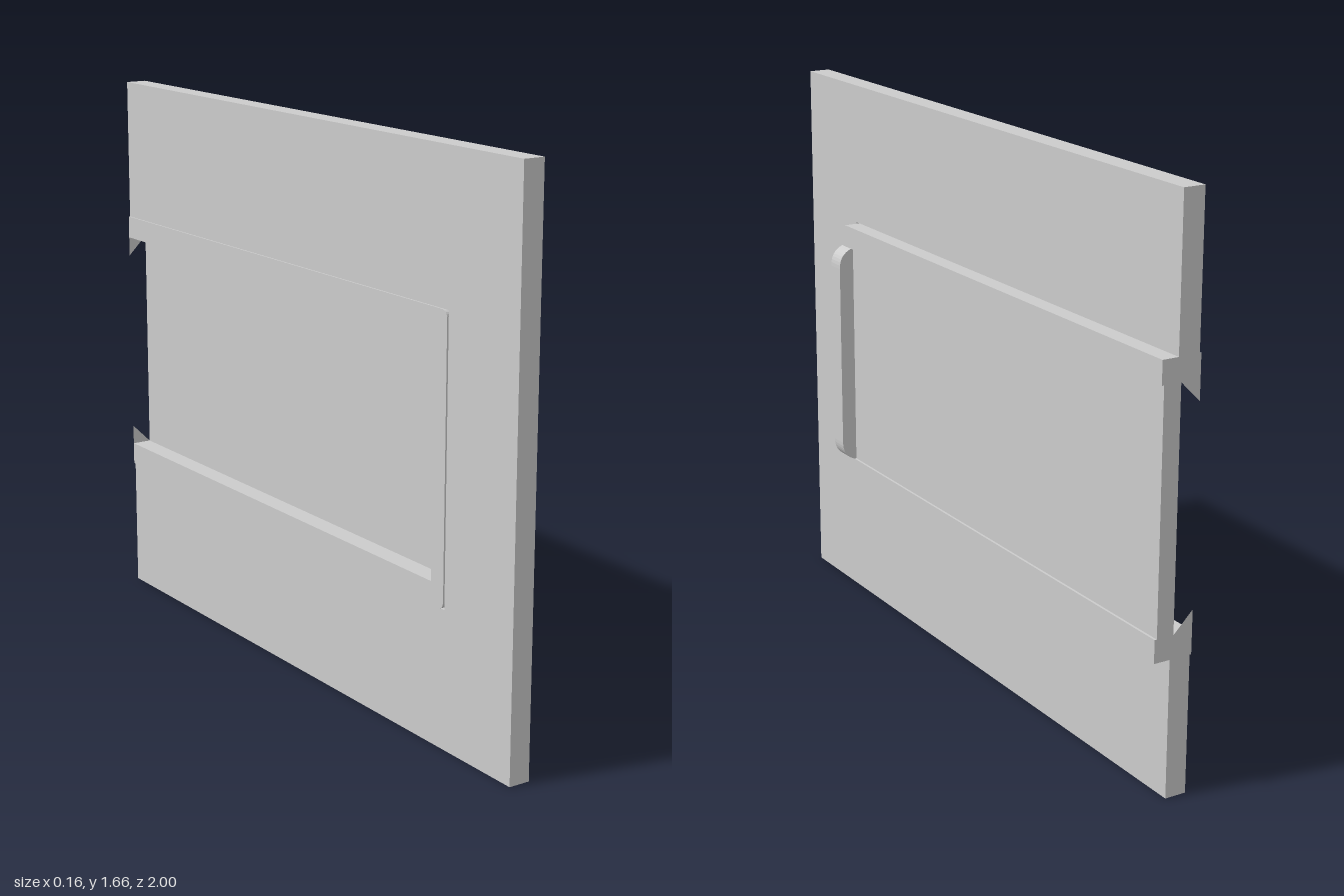
import * as THREE from 'three';

const material = new THREE.MeshStandardMaterial({ color: 0xcccccc, flatShading: true });
const thinMaterial = new THREE.MeshStandardMaterial({ color: 0xcccccc, flatShading: true, side: THREE.DoubleSide });

function add(group, name, geometry, mat = material) {
  const mesh = new THREE.Mesh(geometry, mat);
  mesh.name = name;
  group.add(mesh);
  return mesh;
}

// Extrudes a (z, y) outline sideways from xMin to xMax
function sideExtrude(shape, xMin, xMax) {
  return new THREE.ExtrudeGeometry(shape, { depth: xMax - xMin, bevelEnabled: false, curveSegments: 6 })
    .rotateY(-Math.PI / 2)
    .translate(xMax, 0, 0);
}

export function createModel() {
  const group = new THREE.Group();
  const back = -1;
  const height = 1.665;
  const low = 0.405, high = 1.233;           // outside of the frame
  const innerLow = 0.473, innerHigh = 1.165; // inside of the frame
  const end = 0.705, innerEnd = 0.65;
  const mid = (low + high) / 2;
  const r = 0.025;

  // Wall with a slot open towards the back edge
  const wall = new THREE.Shape();
  [[back, 0], [1, 0], [1, height], [back, height], [back, high], [end, high], [end, low], [back, low]]
    .forEach(([z, y], i) => (i ? wall.lineTo(z, y) : wall.moveTo(z, y)));
  add(group, 'wall', sideExtrude(wall, -0.075, -0.01));

  // U-shaped frame with rounded outer corners
  const frame = new THREE.Shape();
  frame.moveTo(back, low);
  frame.lineTo(end - r, low);
  frame.quadraticCurveTo(end, low, end, low + r);
  frame.lineTo(end, high - r);
  frame.quadraticCurveTo(end, high, end - r, high);
  frame.lineTo(back, high);
  frame.lineTo(back, innerHigh);
  frame.lineTo(innerEnd, innerHigh);
  frame.lineTo(innerEnd, innerLow);
  frame.lineTo(back, innerLow);
  add(group, 'frame', sideExtrude(frame, -0.08, 0.04));

  // Sliding panel held between the rails
  const panel = new THREE.BoxGeometry(0.053, innerHigh - innerLow, innerEnd - back);
  panel.translate(0.0065, mid, (innerEnd + back) / 2);
  add(group, 'panel', panel);

  // Upright handle with rounded ends
  const grip = new THREE.Shape();
  grip.moveTo(0.022, innerLow);
  grip.lineTo(0.04, innerLow);
  grip.quadraticCurveTo(0.08, innerLow + 0.015, 0.08, innerLow + 0.06);
  grip.lineTo(0.08, innerHigh - 0.06);
  grip.quadraticCurveTo(0.08, innerHigh - 0.015, 0.04, innerHigh);
  grip.lineTo(0.022, innerHigh);
  const handle = new THREE.ExtrudeGeometry(grip, { depth: 0.057, bevelEnabled: false, curveSegments: 8 });
  add(group, 'handle', handle.translate(0, 0, innerEnd));

  // Small triangular end tabs on the inner corners of the rails
  for (const [y, s, name] of [[innerHigh, -1, 'upperTab'], [innerLow, 1, 'lowerTab']]) {
    const tab = new THREE.Shape([
      new THREE.Vector2(-0.02, y),
      new THREE.Vector2(-0.08, y),
      new THREE.Vector2(-0.08, y + s * 0.06),
    ]);
    add(group, name, new THREE.ShapeGeometry(tab).translate(0, 0, back), thinMaterial);
  }
  return group;
}
